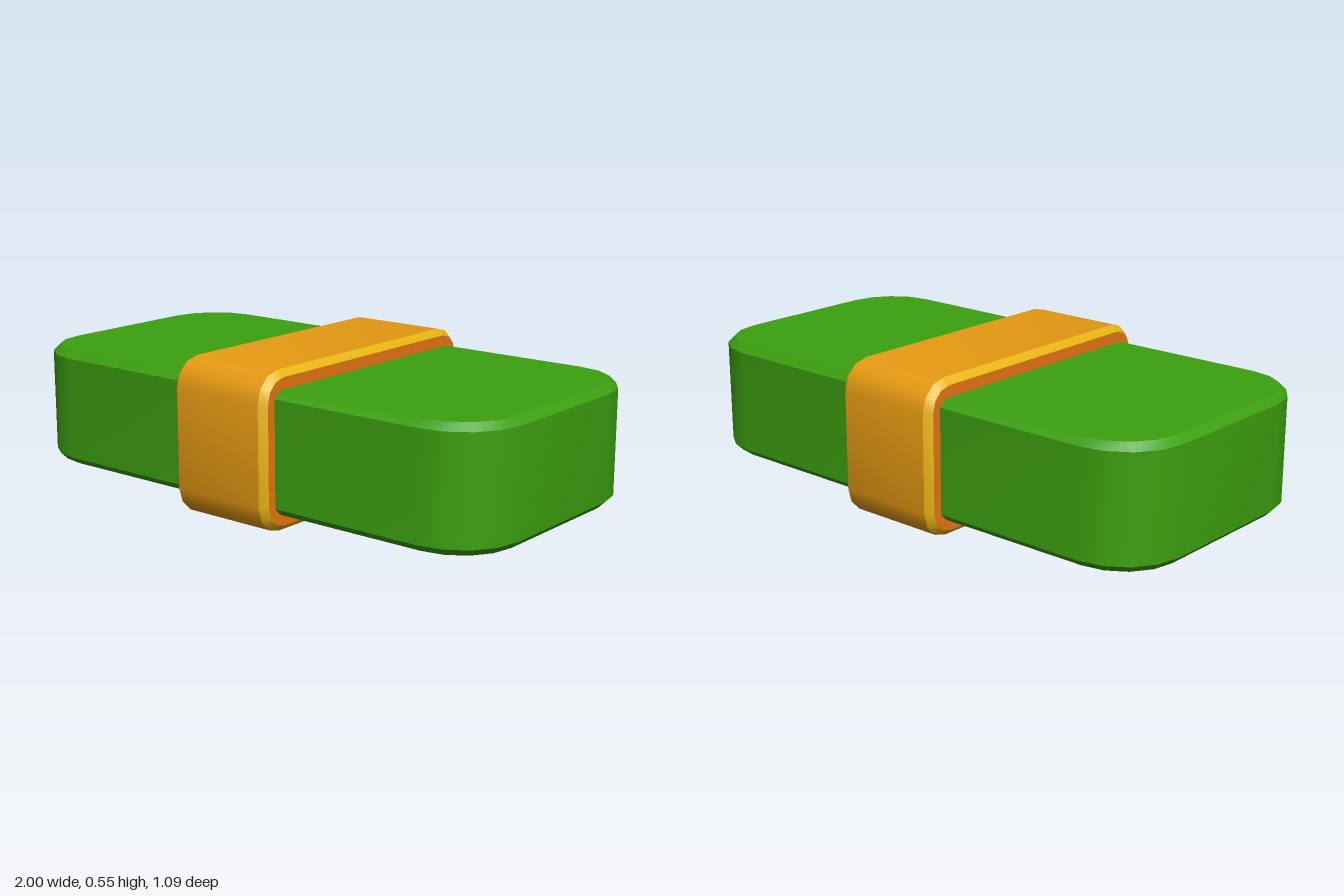
import * as THREE from 'three';
import { toCreasedNormals } from 'three/addons/utils/BufferGeometryUtils.js';

const flat = (name, color) => {
  const m = new THREE.MeshStandardMaterial({ color });
  m.name = name;
  return m;
};

// Rounded rectangle loop, counter-clockwise, shrunk evenly by inset
function loop(halfW, halfH, radius, steps, inset) {
  const pts = [];
  const signs = [[1, 1], [-1, 1], [-1, -1], [1, -1]];
  signs.forEach(([sx, sy], corner) => {
    for (let i = 0; i <= steps; i++) {
      const a = (corner + i / steps) * Math.PI / 2;
      pts.push([
        sx * (halfW - radius) + Math.cos(a) * (radius - inset),
        sy * (halfH - radius) + Math.sin(a) * (radius - inset),
      ]);
    }
  });
  return pts;
}

// Skin through rings given as [height along z, inset], with optional end caps
function loft(halfW, halfH, radius, steps, rings, capped) {
  const n = 4 * (steps + 1);
  const pos = [], index = [];
  for (const [z, inset] of rings) {
    for (const [x, y] of loop(halfW, halfH, radius, steps, inset)) pos.push(x, y, z);
  }
  for (let r = 0; r < rings.length - 1; r++) {
    for (let i = 0; i < n; i++) {
      const a = r * n + i, b = r * n + (i + 1) % n;
      index.push(a, b, b + n, a, b + n, a + n);
    }
  }
  if (capped) {
    const top = (rings.length - 1) * n;
    for (let i = 1; i < n - 1; i++) {
      index.push(0, i + 1, i, top, top + i, top + i + 1);
    }
  }
  const g = new THREE.BufferGeometry();
  g.setAttribute('position', new THREE.Float32BufferAttribute(pos, 3));
  g.setIndex(index);
  return toCreasedNormals(g, 0.65);
}

export function createModel() {
  const green = flat('green', 0x3ca010);
  const amber = flat('amber', 0xe69a12);
  const yellow = flat('yellow', 0xe6b412);
  const orange = flat('orange', 0xe67812);
  const model = new THREE.Group();

  // Rounded slab with chamfered top and bottom rims
  const body = new THREE.Mesh(
    loft(1, 0.49, 0.225, 4, [[0.065, 0.025], [0.09, 0], [0.46, 0], [0.485, 0.025]], true)
      .rotateX(-Math.PI / 2), green);
  body.name = 'body';
  model.add(body);

  // Band wrapped round the middle
  const band = new THREE.Group();
  band.name = 'band';
  band.position.y = 0.274;
  model.add(band);
  const strip = (name, rings, material) => {
    const mesh = new THREE.Mesh(
      loft(0.544, 0.274, 0.1, 3, rings, false).rotateY(Math.PI / 2), material);
    mesh.name = name;
    band.add(mesh);
  };
  strip('bandOuter', [[-0.18, 0], [0.18, 0]], amber);
  strip('bandLeftChamfer', [[0.18, 0], [0.205, 0.022]], yellow);
  strip('bandRightChamfer', [[-0.205, 0.022], [-0.18, 0]], yellow);
  strip('bandLeftSide', [[0.205, 0.022], [0.205, 0.08]], orange);
  strip('bandRightSide', [[-0.205, 0.08], [-0.205, 0.022]], orange);

  return model;
}
